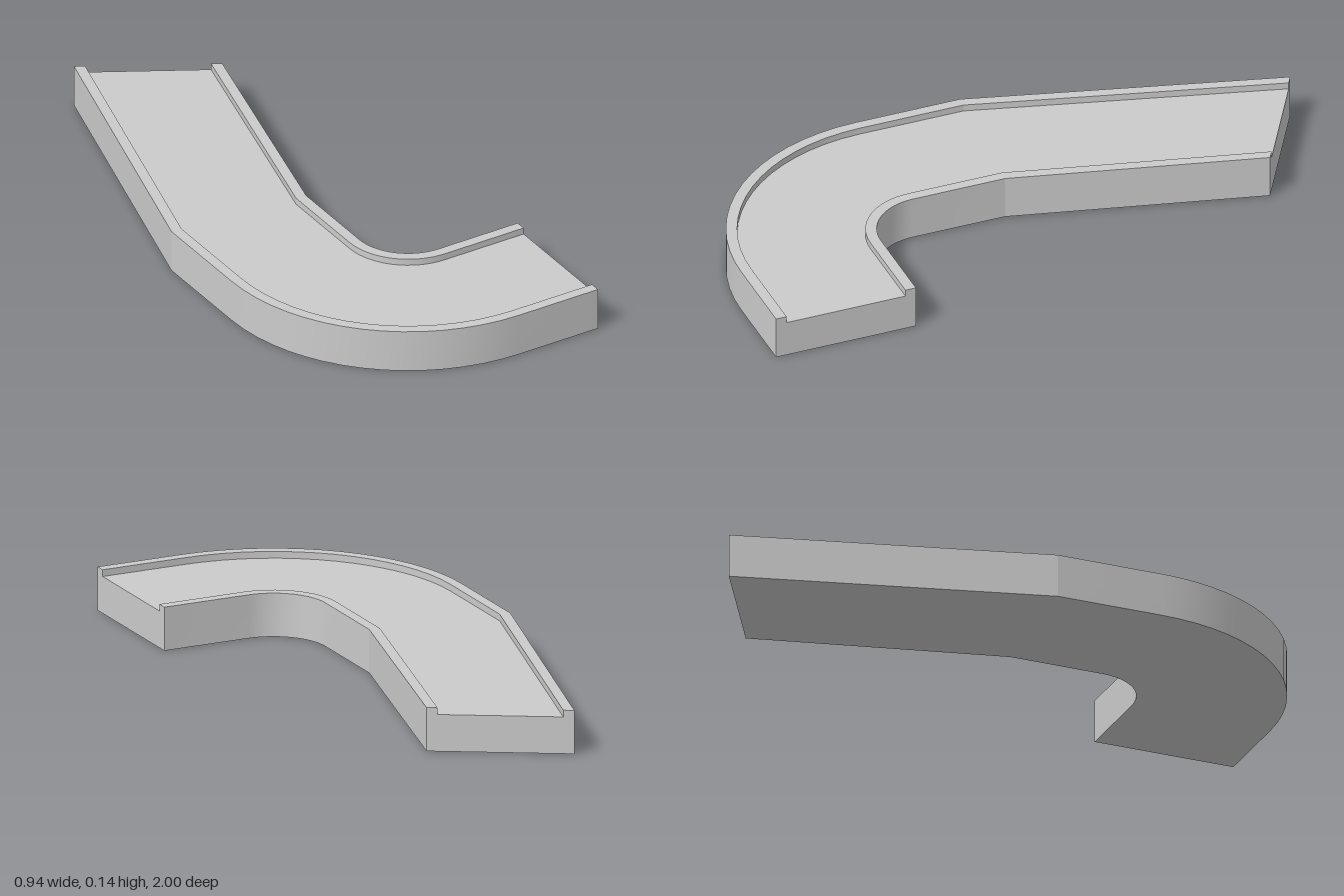
import * as THREE from 'three';
import { toCreasedNormals } from 'three/addons/utils/BufferGeometryUtils.js';

const HEIGHT = 0.142, FLOOR = 0.12, CURB = 0.075; // curb width is a fraction of the track width

// Matching [outerX, outerZ, innerX, innerZ] stations along the track
function stations() {
  const list = [
    [-0.2, -1, 0.2, -0.77],
    [-0.47, 0, 0, 0.04],
  ];
  const cx = 0.18, cz = 0.35, outer = 0.65, inner = 0.18, steps = 16;
  for (let i = 0; i <= steps; i++) {
    const a = (i / steps) * Math.PI / 2;
    const c = Math.cos(a), s = Math.sin(a);
    list.push([cx - outer * c, cz + outer * s, cx - inner * c, cz + inner * s]);
  }
  list.push([0.47, 1, 0.47, 0.53]);
  return list;
}

// Sweeps the channel cross-section through the stations and caps both ends
function channelGeometry() {
  const section = [
    [0, 0], [0, HEIGHT], [CURB, HEIGHT], [CURB, FLOOR],
    [1 - CURB, FLOOR], [1 - CURB, HEIGHT], [1, HEIGHT], [1, 0],
  ];
  const n = section.length, path = stations();
  const positions = [], index = [];
  for (const [ox, oz, ix, iz] of path) {
    for (const [u, y] of section) positions.push(ox + (ix - ox) * u, y, oz + (iz - oz) * u);
  }
  for (let i = 0; i < path.length - 1; i++) {
    for (let j = 0; j < n; j++) {
      const k = (j + 1) % n;
      const a = i * n + j, b = i * n + k, c = b + n, d = a + n;
      index.push(a, d, c, a, c, b);
    }
  }
  const cap = [[0, 1, 2], [0, 2, 3], [0, 3, 4], [0, 4, 7], [4, 5, 6], [4, 6, 7]];
  const last = (path.length - 1) * n;
  for (const [a, b, c] of cap) index.push(a, b, c, last + a, last + c, last + b);

  const geometry = new THREE.BufferGeometry();
  geometry.setAttribute('position', new THREE.Float32BufferAttribute(positions, 3));
  geometry.setIndex(index);
  return toCreasedNormals(geometry, 0.2);
}

export function createModel() {
  const group = new THREE.Group();
  group.name = 'curvedTrack';
  const track = new THREE.Mesh(channelGeometry(), new THREE.MeshStandardMaterial({ color: 0xcccccc }));
  track.name = 'trackWithCurbs';
  group.add(track);
  return group;
}
